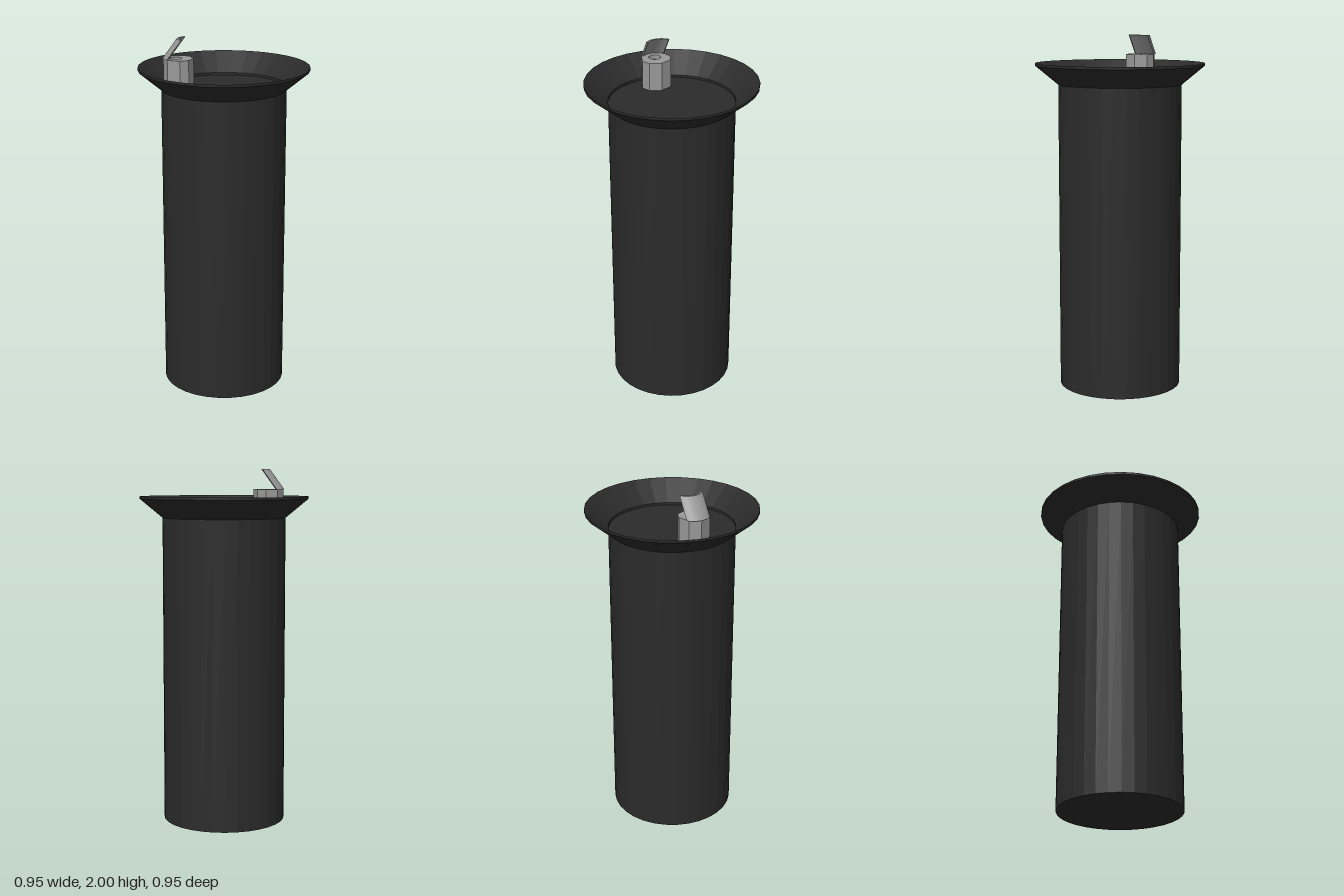
import * as THREE from 'three';

const SIDES = 32;
const FLOOR = 1.73;      // basin floor height
const SPOUT_TOP = 1.89;

function material(color) {
  return new THREE.MeshStandardMaterial({ color, flatShading: true });
}

function addPart(parent, name, geometry, mat) {
  const mesh = new THREE.Mesh(geometry, mat);
  mesh.name = name;
  parent.add(mesh);
  return mesh;
}

// Extrude a plan outline (x, -z) straight up from height y
function extrudeUp(shape, y, height, curveSegments = 8) {
  const geo = new THREE.ExtrudeGeometry(shape, { depth: height, bevelEnabled: false, curveSegments });
  geo.rotateX(-Math.PI / 2);
  geo.translate(0, y, 0);
  return geo;
}

export function createModel() {
  const model = new THREE.Group();
  model.name = 'drinkingFountain';
  const dark = material(0x2b2b2b);
  const metal = material(0x999999);

  // Pedestal, whose top cap is the basin floor
  const pedestal = new THREE.CylinderGeometry(0.347, 0.347, FLOOR, SIDES);
  pedestal.translate(0, FLOOR / 2, 0);
  addPart(model, 'pedestal', pedestal, dark);

  // Flared bowl with a thin wall and upright lip
  const profile = [
    [0.347, FLOOR], [0.475, 1.836], [0.475, 1.85], [0.347, 1.744], [0.347, FLOOR],
  ].map(([r, y]) => new THREE.Vector2(r, y));
  addPart(model, 'bowl', new THREE.LatheGeometry(profile, SIDES), dark);

  const spout = new THREE.Group();
  spout.name = 'spout';
  spout.position.set(-0.252, 0, 0);
  model.add(spout);

  // Eight-sided nozzle block with an outlet hole
  const outline = [
    [0.084, 0.005], [0.052, 0.07], [0.002, 0.087], [-0.06, 0.062],
    [-0.085, 0], [-0.053, -0.066], [0.018, -0.084], [0.064, -0.06],
  ].map(([x, y]) => new THREE.Vector2(x, y));
  const block = new THREE.Shape(outline);
  const hole = new THREE.Path();
  hole.absarc(-0.015, 0, 0.034, 0, Math.PI * 2, true);
  block.holes.push(hole);
  addPart(spout, 'nozzleBlock', extrudeUp(block, FLOOR, SPOUT_TOP - FLOOR), metal);

  const outletFloor = new THREE.CircleGeometry(0.034, 8);
  outletFloor.rotateX(-Math.PI / 2);
  outletFloor.translate(-0.015, SPOUT_TOP - 0.025, 0);
  addPart(spout, 'outletFloor', outletFloor, metal);

  // Curved guard, leaning in over the outlet
  const arc = new THREE.Shape();
  const from = Math.PI - 0.88, to = Math.PI + 0.88;
  arc.absarc(0, 0.005, 0.088, from, to, false);
  arc.absarc(0, 0.005, 0.076, to, from, true);
  const height = 2 - SPOUT_TOP;
  const guard = extrudeUp(arc, 0, height, 6);
  const pos = guard.attributes.position;
  for (let i = 0; i < pos.count; i++) {
    pos.setX(i, pos.getX(i) + 0.08 * pos.getY(i) / height);
  }
  guard.translate(0, SPOUT_TOP, 0);
  guard.computeVertexNormals();
  addPart(spout, 'mouthGuard', guard, metal);

  return model;
}
